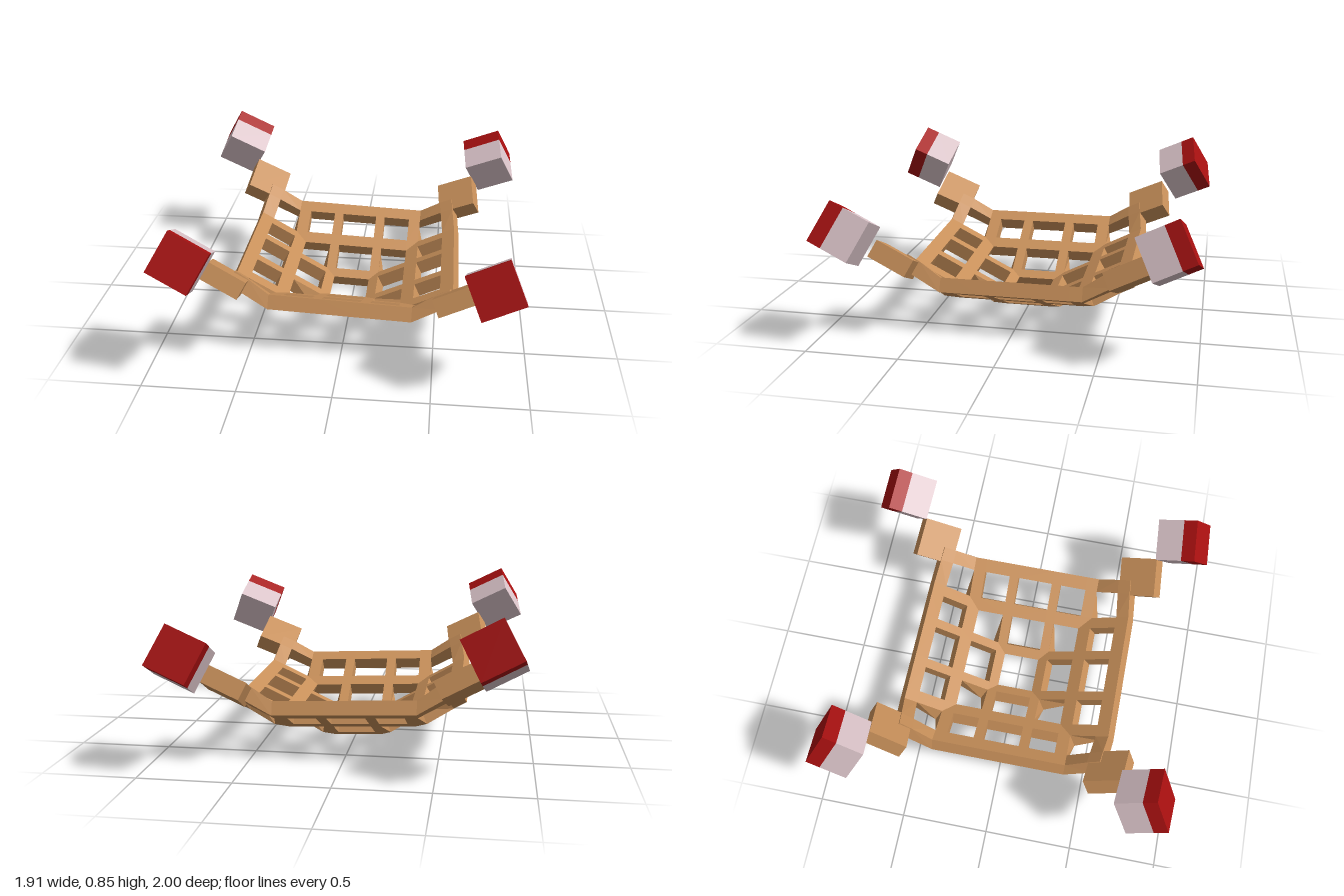
import * as THREE from 'three';

const SLOPE = 0.52;                                    // rise of the net panels
const HALF = [0.105, 0.16, 0.315, 0.385, 0.53, 0.6];   // strip edges from the centre out
const LINES = [...HALF.map(v => -v).reverse(), ...HALF];
const FOLD = 0.385;                                    // corner flaps begin here

// Top and underside points of the net at a grid crossing
function netPoint(i, j, under) {
  const x = LINES[i], z = LINES[j];
  const ax = Math.abs(x), az = Math.abs(z);
  const corner = Math.min(ax, az) > FOLD;
  let y = 0.077 + SLOPE * (Math.max(ax, az) - HALF[0]);
  let px = ax, pz = az;
  if (corner) {
    y += SLOPE * (Math.min(ax, az) - FOLD);
    px -= 0.13 * (az - FOLD);
    pz -= 0.13 * (ax - FOLD);
  }
  if (under) {
    y -= corner ? 0.064 : 0.07;
    if (corner || ax >= az - 1e-6) px += 0.036;
    if (corner || az >= ax - 1e-6) pz += 0.036;
  }
  return [Math.sign(x) * px, y, Math.sign(z) * pz];
}

// Folded lattice: strips are the even intervals, holes where both are odd
function netGeometry() {
  const pos = [];
  const tri = (...p) => p.forEach(v => pos.push(...v));
  const n = LINES.length - 1;
  const solid = (i, j) => i >= 0 && j >= 0 && i < n && j < n && (i % 2 === 0 || j % 2 === 0);
  for (let i = 0; i < n; i++) for (let j = 0; j < n; j++) {
    if (!solid(i, j)) continue;
    const ids = [[i, j], [i, j + 1], [i + 1, j + 1], [i + 1, j]];
    const t = ids.map(([u, v]) => netPoint(u, v, false));
    const b = ids.map(([u, v]) => netPoint(u, v, true));
    // split along the ridge that runs out from the centre
    const s = (i - 5) * (j - 5) >= 0 ? 0 : 1;
    const k = [0, 1, 2, 3].map(m => (m + s) % 4);
    tri(t[k[0]], t[k[1]], t[k[2]]);
    tri(t[k[0]], t[k[2]], t[k[3]]);
    tri(b[k[0]], b[k[2]], b[k[1]]);
    tri(b[k[0]], b[k[3]], b[k[2]]);
    // walls towards holes and the rim
    [[-1, 0], [0, 1], [1, 0], [0, -1]].forEach(([di, dj], e) => {
      if (solid(i + di, j + dj)) return;
      const f = (e + 1) % 4;
      tri(t[e], b[e], b[f]);
      tri(t[e], b[f], t[f]);
    });
  }
  const g = new THREE.BufferGeometry();
  g.setAttribute('position', new THREE.Float32BufferAttribute(pos, 3));
  g.computeVertexNormals();
  return g;
}

export function createModel() {
  const mat = (name, color) => {
    const m = new THREE.MeshStandardMaterial({ color });
    m.name = name;
    return m;
  };
  const tan = mat('tan', 0xc8905a);
  const pale = mat('pale pink', 0xdcc5ca);
  const red = mat('red', 0xa81010);

  const model = new THREE.Group();
  model.name = 'net';
  const tilted = new THREE.Group();
  tilted.name = 'tiltedNet';
  tilted.rotation.z = -0.044;
  tilted.position.x = -0.017;
  model.add(tilted);

  const add = (parent, name, geometry, material) => {
    const m = new THREE.Mesh(geometry, material);
    m.name = name;
    parent.add(m);
    return m;
  };
  add(tilted, 'lattice', netGeometry(), tan);

  // Corner plates and two-coloured end blocks
  const up = new THREE.Vector3(0, 1, 0);
  const plate = new THREE.BoxGeometry(0.225, 0.1, 0.225);
  const size = 0.235, cap = 0.08;
  const body = new THREE.BoxGeometry(size, size, size - cap);
  const end = new THREE.BoxGeometry(size, size, cap);
  for (const sx of [-1, 1]) for (const sz of [-1, 1]) {
    const normal = new THREE.Vector3(-sx * SLOPE, 1, -sz * SLOPE).normalize();
    const turn = new THREE.Quaternion().setFromUnitVectors(up, normal);

    const p = add(tilted, 'cornerPlate', plate, tan);
    p.position.set(sx * 0.615, 0.425, sz * 0.63);
    p.quaternion.copy(turn);

    const block = new THREE.Group();
    block.name = 'endBlock';
    block.position.set(sx * 0.79, 0.622, sz * 0.833);
    block.quaternion.copy(turn);
    add(block, 'blockBody', body, pale).position.z = -sz * cap / 2;
    add(block, 'blockCap', end, red).position.z = sz * (size - cap) / 2;
    tilted.add(block);
  }
  return model;
}
